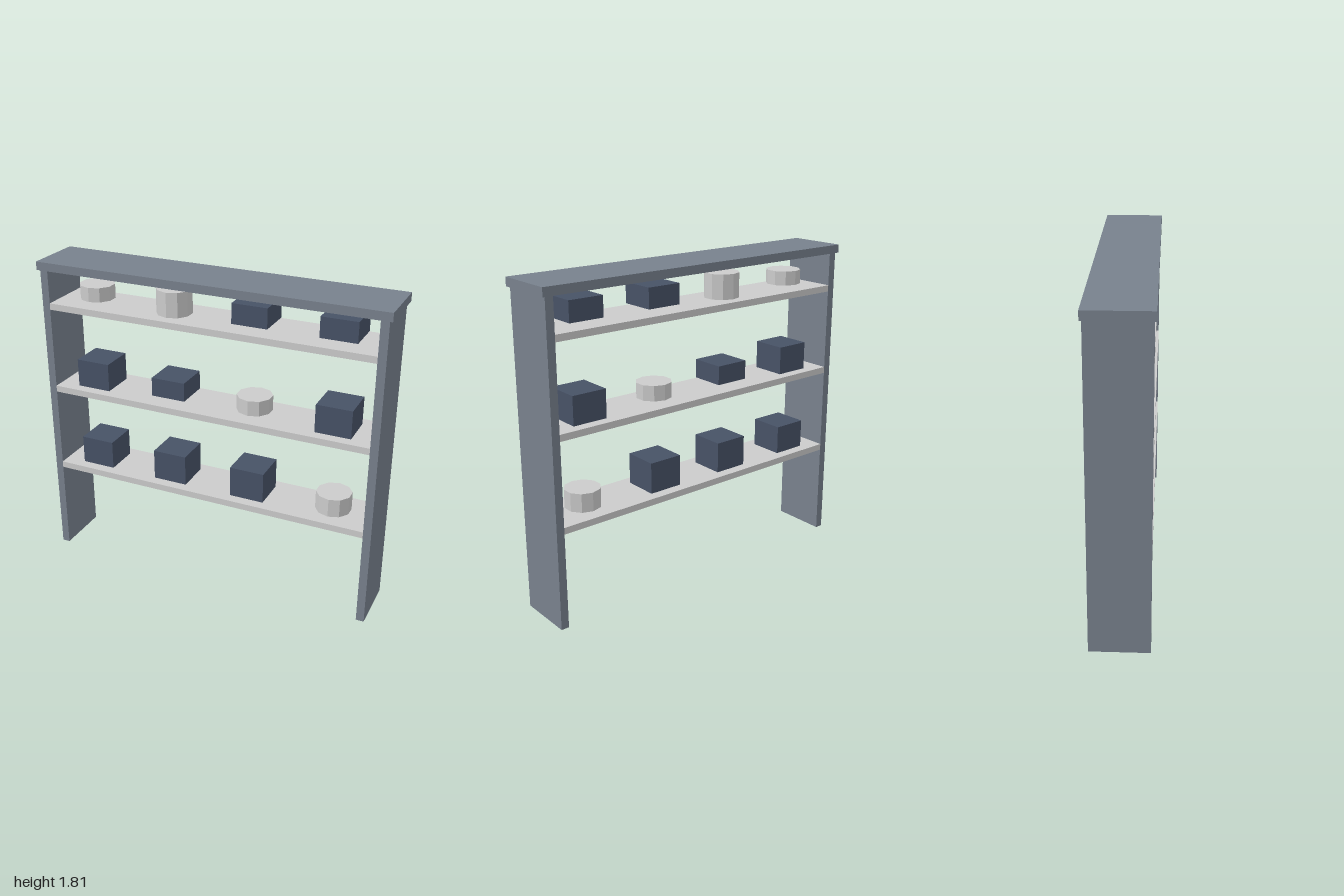
import * as THREE from 'three';

export function createModel() {
  const model = new THREE.Group();
  model.name = 'shelfRack';

  const material = (color) => new THREE.MeshStandardMaterial({ color, flatShading: true });
  const frameMat = material(0x78818d);
  const greyMat = material(0xcccccc);
  const boxMat = material(0x475266);

  // Adds a mesh spanning bottom..top at the given x
  const add = (name, geometry, mat, x, bottom, top) => {
    const mesh = new THREE.Mesh(geometry, mat);
    mesh.name = name;
    mesh.position.set(x, (bottom + top) / 2, 0);
    model.add(mesh);
  };
  const block = (name, mat, width, depth, x, bottom, top) =>
    add(name, new THREE.BoxGeometry(width, top - bottom, depth), mat, x, bottom, top);

  // Frame: two side panels and an overhanging top board
  block('leftPanel', frameMat, 0.045, 0.32, 0.961, 0, 1.76);
  block('rightPanel', frameMat, 0.045, 0.32, -0.961, 0, 1.76);
  block('topBoard', frameMat, 2, 0.34, 0, 1.76, 1.807);

  // Shelves with their goods: [kind, bottom, top], listed along +x
  const shelves = [
    { y: 0.573, goods: [['box', 0.573, 0.739], ['box', 0.573, 0.75], ['box', 0.573, 0.75], ['drum', 0.581, 0.686]] },
    { y: 1.073, goods: [['box', 1.073, 1.235], ['box', 1.1, 1.208], ['drum', 1.09, 1.176], ['box', 1.073, 1.232]] },
    { y: 1.573, goods: [['drum', 1.593, 1.674], ['drum', 1.573, 1.713], ['box', 1.598, 1.711], ['box', 1.598, 1.711]] },
  ];
  for (const { y, goods } of shelves) {
    block('shelf', greyMat, 1.877, 0.32, 0, y - 0.037, y);
    goods.forEach(([kind, bottom, top], i) => {
      const x = -0.72 + i * 0.48;
      if (kind === 'box') block('box', boxMat, 0.2, 0.2, x, bottom, top);
      else add('drum', new THREE.CylinderGeometry(0.1, 0.1, top - bottom, 10), greyMat, x, bottom, top);
    });
  }

  return model;
}
